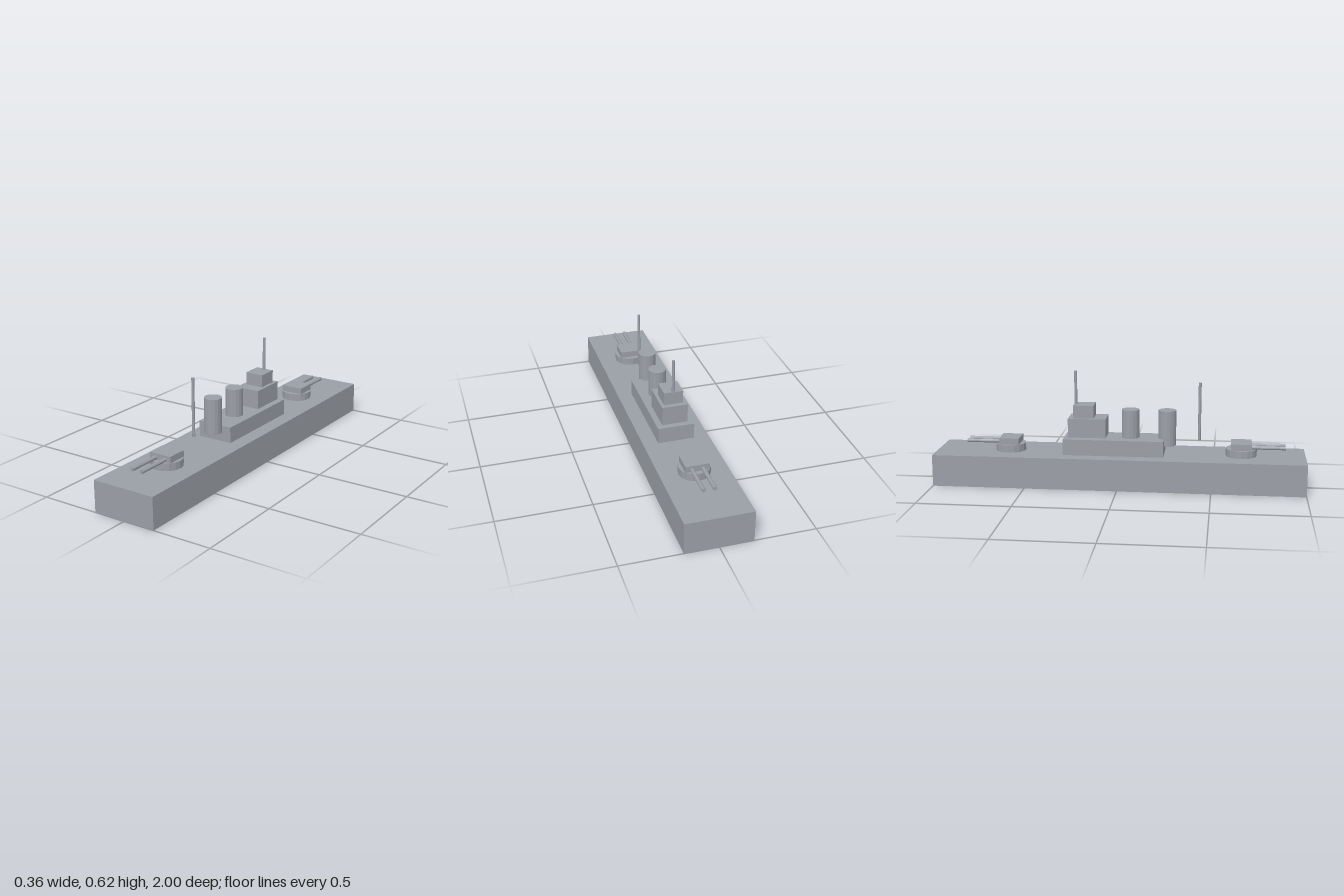
import * as THREE from 'three';

const material = new THREE.MeshStandardMaterial({ color: 0x9a9ea5, flatShading: true });

function add(parent, name, geometry, x, y, z) {
  const mesh = new THREE.Mesh(geometry, material);
  mesh.name = name;
  mesh.position.set(x, y, z);
  parent.add(mesh);
  return mesh;
}

// Box from its full width, its y range and its z range
function block(parent, name, width, y0, y1, z0, z1) {
  return add(parent, name, new THREE.BoxGeometry(width, y1 - y0, z1 - z0), 0, (y0 + y1) / 2, (z0 + z1) / 2);
}

// Upright cylinder from its y range
function post(parent, name, radius, y0, y1, z, sides) {
  return add(parent, name, new THREE.CylinderGeometry(radius, radius, y1 - y0, sides), 0, (y0 + y1) / 2, z);
}

// Twin-gun turret whose barrels point along +z before turning
function turret(name, z, turn) {
  const group = new THREE.Group();
  group.name = name;
  post(group, 'turretBase', 0.083, 0.171, 0.211, 0, 16);
  block(group, 'gunHouse', 0.126, 0.177, 0.245, -0.055, 0.055);
  for (const side of [-1, 1]) {
    const barrel = new THREE.CylinderGeometry(0.0105, 0.0105, 0.184, 12).rotateX(Math.PI / 2);
    add(group, 'gunBarrel', barrel, side * 0.029, 0.223, 0.144);
  }
  group.position.z = z;
  group.rotation.y = turn;
  return group;
}

export function createModel() {
  const ship = new THREE.Group();
  ship.name = 'warship';

  // Hull and stepped superstructure
  block(ship, 'hull', 0.356, 0, 0.171, -1, 1);
  block(ship, 'deckhouse', 0.196, 0.171, 0.257, -0.3, 0.242);
  block(ship, 'bridge', 0.138, 0.262, 0.365, -0.275, -0.07);
  block(ship, 'bridgeTop', 0.103, 0.365, 0.434, -0.249, -0.138);

  // Funnels
  for (const z of [0.058, 0.257]) post(ship, 'funnel', 0.048, 0.219, 0.411, z, 16);

  // Masts
  post(ship, 'plainMast', 0.008, 0.249, 0.563, 0.43, 12);
  post(ship, 'bridgeMast', 0.008, 0.249, 0.615, -0.24, 12);

  // Turrets at both ends, facing outward
  ship.add(turret('frontTurret', 0.656, 0));
  ship.add(turret('rearTurret', -0.602, Math.PI));

  return ship;
}
